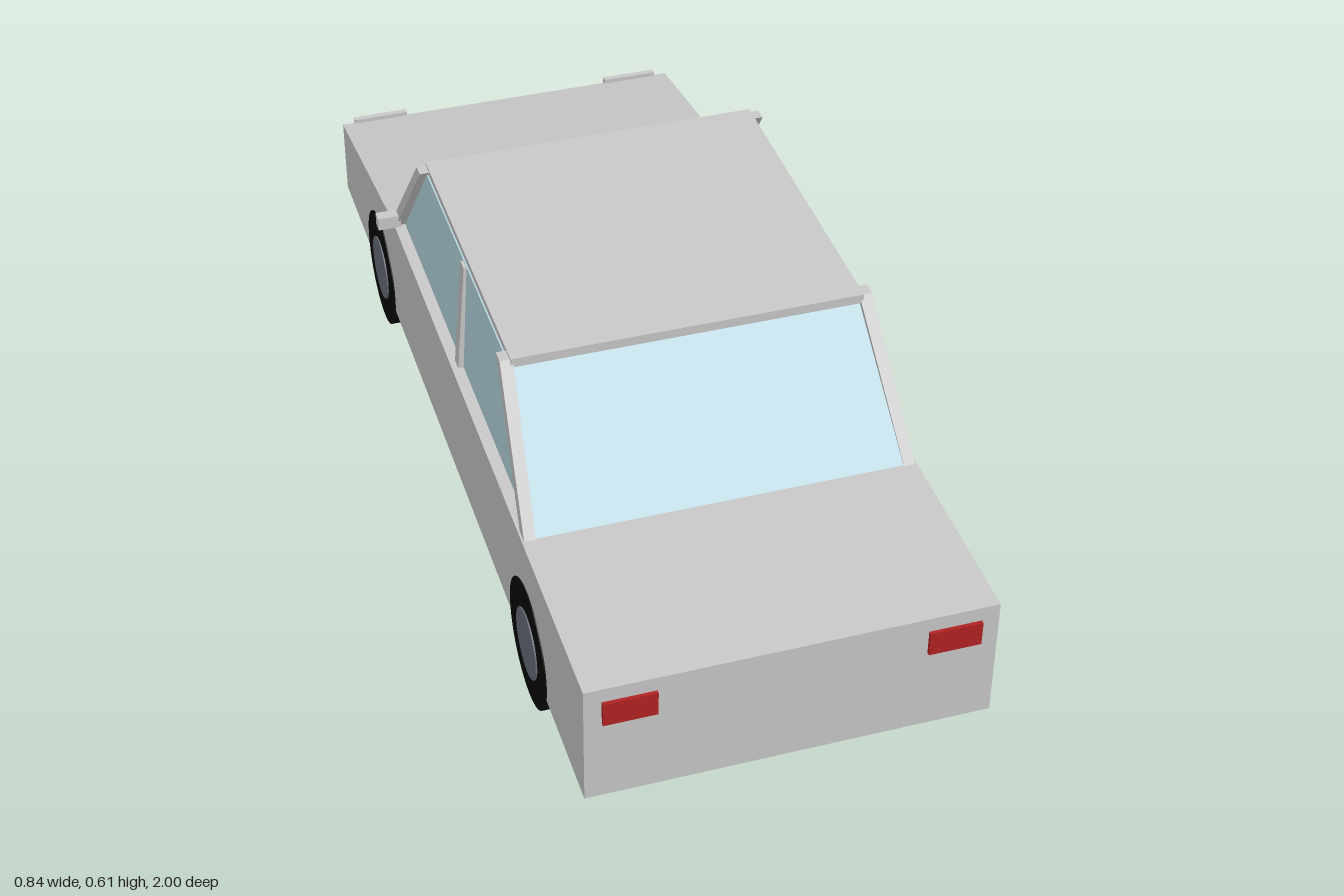
import * as THREE from 'three';

const mat = (name, color) => {
  const m = new THREE.MeshStandardMaterial({ color });
  m.name = name;
  return m;
};

export function createModel() {
  const paint = mat('silver paint', 0xc8c8c8);
  const glass = mat('pale blue glass', 0xb8d6e0);
  const rubber = mat('black rubber', 0x0a0a0a);
  const steel = mat('grey steel', 0x686d7a);
  const red = mat('red lens', 0xb22222);

  const car = new THREE.Group();
  car.name = 'car';
  const add = (name, geometry, material) => {
    const mesh = new THREE.Mesh(geometry, material);
    mesh.name = name;
    car.add(mesh);
    return mesh;
  };
  // Box given by its ranges
  const box = (name, x0, x1, y0, y1, z0, z1, material) =>
    add(name, new THREE.BoxGeometry(x1 - x0, y1 - y0, z1 - z0)
      .translate((x0 + x1) / 2, (y0 + y1) / 2, (z0 + z1) / 2), material);
  // Box whose bottom and top rectangles [x0, x1, z0, z1] differ
  const taper = (y0, bottom, y1, top) => {
    const g = new THREE.BoxGeometry(1, 1, 1);
    const p = g.attributes.position;
    for (let i = 0; i < p.count; i++) {
      const up = p.getY(i) > 0;
      const r = up ? top : bottom;
      p.setXYZ(i, p.getX(i) < 0 ? r[0] : r[1], up ? y1 : y0, p.getZ(i) < 0 ? r[2] : r[3]);
    }
    const flat = g.toNonIndexed();
    flat.computeVertexNormals();
    return flat;
  };

  // Lower body: side profile (z, y) extruded across the width
  const profile = new THREE.Shape([
    [-0.99, 0.095], [0.993, 0.095], [0.993, 0.353], [-0.465, 0.353], [-0.99, 0.265],
  ].map(([z, y]) => new THREE.Vector2(z, y)));
  add('body', new THREE.ExtrudeGeometry(profile, { depth: 0.766, bevelEnabled: false })
    .rotateY(-Math.PI / 2).translate(0.383, 0, 0), paint);

  // Cabin
  add('windows', taper(0.35, [-0.36, 0.36, -0.48, 0.593], 0.592, [-0.345, 0.345, -0.277, 0.367]), glass);
  box('roof', -0.342, 0.342, 0.588, 0.607, -0.285, 0.383, paint);

  for (const s of [1, -1]) {
    const side = s > 0 ? 'left' : 'right';
    const span = (a, b) => (s > 0 ? [a, b] : [-b, -a]);
    // Roof pillars
    const pillar = (name, bottom, top, yTop) =>
      add(side + name, taper(0.352, [...span(bottom[0], bottom[1]), bottom[2], bottom[3]],
        yTop, [...span(top[0], top[1]), top[2], top[3]]), paint);
    pillar('TailPillar', [0.357, 0.379, 0.563, 0.594], [0.336, 0.361, 0.348, 0.376], 0.602);
    pillar('WindscreenPillar', [0.357, 0.379, -0.475, -0.445], [0.336, 0.361, -0.282, -0.255], 0.602);
    pillar('DoorPillar', [0.345, 0.371, 0.038, 0.064], [0.335, 0.351, 0.038, 0.064], 0.59);

    // Mirrors and lights
    box(side + 'Mirror', ...span(0.372, 0.42), 0.36, 0.388, -0.452, -0.427, paint);
    box(side + 'Headlight', ...span(0.235, 0.355), 0.23, 0.275, -0.998, -0.985, paint);
    box(side + 'TailLight', ...span(0.25, 0.35), 0.272, 0.323, 0.991, 1, red);

    // Wheels, with hubs showing on both faces
    for (const [end, z] of [['Front', -0.615], ['Rear', 0.62]]) {
      for (const [part, r, w, m] of [['Tyre', 0.127, 0.093, rubber], ['Hub', 0.07, 0.099, steel]]) {
        add(side + end + part, new THREE.CylinderGeometry(r, r, w, 40).rotateZ(Math.PI / 2), m)
          .position.set(s * 0.339, 0.127, z);
      }
    }
  }
  box('grille', -0.19, 0.19, 0.12, 0.175, -0.996, -0.988, rubber);
  return car;
}
